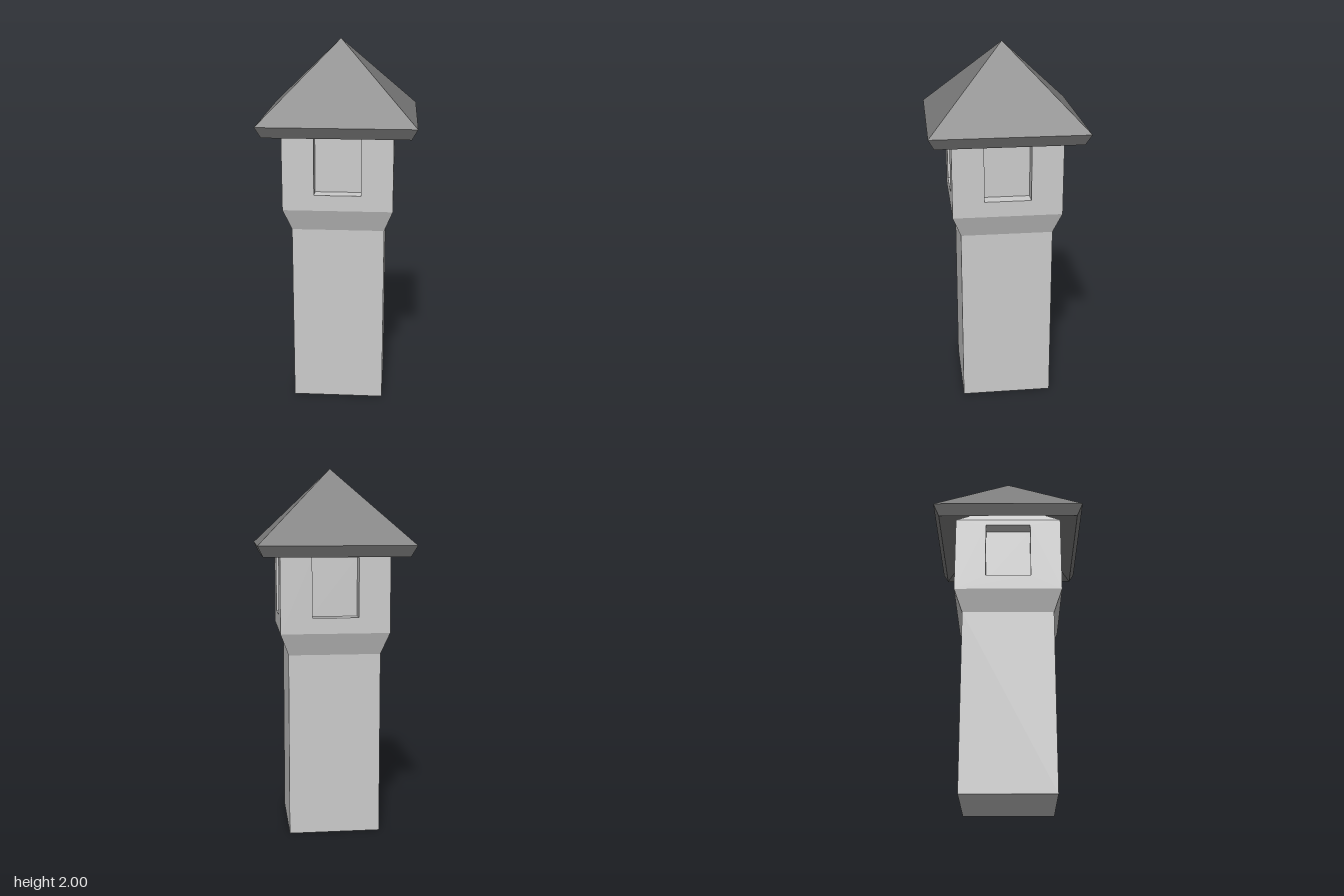
import * as THREE from 'three';
import { mergeGeometries } from 'three/addons/utils/BufferGeometryUtils.js';

const stone = new THREE.MeshStandardMaterial({ color: 0xcccccc, flatShading: true });
const tile = new THREE.MeshStandardMaterial({ color: 0x7c7c7c, flatShading: true });

// Square solid from a [half width, height] profile
function squareLathe(name, profile, material) {
  const points = profile.map(([r, y]) => new THREE.Vector2(r * Math.SQRT2, y));
  const mesh = new THREE.Mesh(new THREE.LatheGeometry(points, 4, Math.PI / 4), material);
  mesh.name = name;
  return mesh;
}

function rectangle(path, x, y0, y1) {
  return path.moveTo(-x, y0).lineTo(x, y0).lineTo(x, y1).lineTo(-x, y1).closePath();
}

export function createModel() {
  const model = new THREE.Group();
  model.name = 'tower';

  const wall = 0.295, wallBottom = 1.12, wallTop = 1.56;
  const half = 0.125, sill = 1.205, head = 1.525, depth = 0.075;

  // Shaft flaring out to the lookout room
  model.add(squareLathe('shaft', [[0, 0], [0.25, 0], [0.25, 1], [wall, wallBottom]], stone));

  // Lookout wall with a window opening
  const shape = rectangle(new THREE.Shape(), wall, wallBottom, wallTop);
  shape.holes.push(rectangle(new THREE.Path(), half, sill, head));
  const wallGeometry = new THREE.ShapeGeometry(shape).translate(0, 0, wall);

  // Window recess: back panel, two jambs, sill and head
  const midY = (sill + head) / 2, midZ = wall - depth / 2, height = head - sill;
  const recessGeometry = mergeGeometries([
    new THREE.PlaneGeometry(2 * half, height).translate(0, midY, wall - depth),
    new THREE.PlaneGeometry(depth, height).rotateY(Math.PI / 2).translate(-half, midY, midZ),
    new THREE.PlaneGeometry(depth, height).rotateY(-Math.PI / 2).translate(half, midY, midZ),
    new THREE.PlaneGeometry(2 * half, depth).rotateX(-Math.PI / 2).translate(0, sill, midZ),
    new THREE.PlaneGeometry(2 * half, depth).rotateX(Math.PI / 2).translate(0, head, midZ),
  ]);

  ['front', 'left', 'back', 'right'].forEach((side, i) => {
    const group = new THREE.Group();
    group.name = side + 'Wall';
    const face = new THREE.Mesh(wallGeometry, stone);
    face.name = 'wallFace';
    const recess = new THREE.Mesh(recessGeometry, stone);
    recess.name = 'windowRecess';
    group.add(face, recess);
    group.rotation.y = i * Math.PI / 2;
    model.add(group);
  });

  // Sloped masonry top under the roof
  model.add(squareLathe('wallCap', [[wall, wallTop], [0, 1.855]], stone));

  // Hollow pyramid roof with bevelled eaves
  model.add(squareLathe('roof', [[0, 1.91], [0.385, 1.53], [0.415, 1.59], [0, 2]], tile));

  return model;
}
